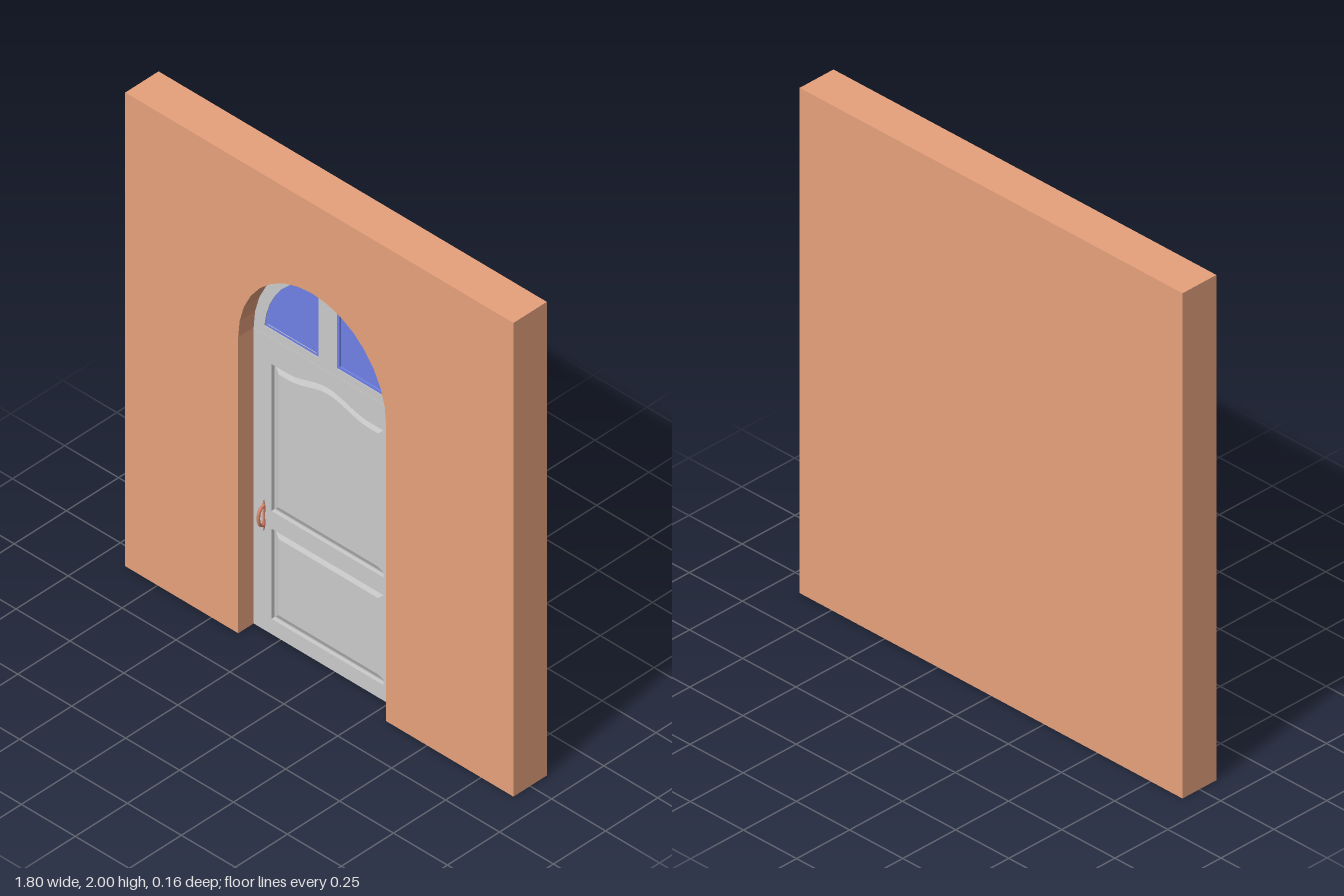
import * as THREE from 'three';

const W = 1.8, H = 2, Z = 0.08;            // wall width, height, half thickness
const CX = -0.033, RX = 0.343, RY = 0.37;  // opening centre and arch radii
const SPRING = 1.25, RECESS = -0.01, DOOR_Z = 0.006;

const mat = (color) => new THREE.MeshStandardMaterial({ color, flatShading: true });
const wallMat = mat(0xe6a17c), doorMat = mat(0xcccccc), glassMat = mat(0x6f81e6), handleMat = mat(0xd98468);

const shapeOf = (pts) => new THREE.Shape(pts.map(([x, y]) => new THREE.Vector2(x, y)));

// points on an ellipse about the middle of the arch spring line
function arc(rx, ry, a0, a1, n) {
  return Array.from({ length: n + 1 }, (_, i) => {
    const a = a0 + (a1 - a0) * i / n;
    return [rx * Math.cos(a), SPRING + ry * Math.sin(a)];
  });
}

function extrude(name, shape, z0, z1, material, bevel) {
  const opts = bevel
    ? { depth: z1 - z0, bevelEnabled: true, bevelSegments: 1, bevelThickness: bevel[1], bevelSize: bevel[0], bevelOffset: -bevel[0] }
    : { depth: z1 - z0, bevelEnabled: false };
  const mesh = new THREE.Mesh(new THREE.ExtrudeGeometry(shape, opts), material);
  mesh.position.z = z0;
  mesh.name = name;
  return mesh;
}

// one quarter-round light of the fanlight; side is -1 or 1, inset shrinks it
function lightShape(side, inset) {
  const rx = 0.295 - inset, ry = 0.335 - inset, x0 = 0.043 + inset, y0 = 1.285 + inset;
  const pts = arc(rx, ry, Math.asin((y0 - SPRING) / ry), Math.acos(x0 / rx), 8);
  return shapeOf([[x0, y0], ...pts].map(([x, y]) => [x * side, y]));
}

// door panel outline, with an optional swept crown on top
function panelShape(y0, y1, crown, inset) {
  const hw = 0.26 - inset, top = y1 - inset, pts = [[-hw, y0 + inset], [hw, y0 + inset], [hw, top]];
  if (crown) {
    for (let i = 0; i <= 12; i++) {
      const t = 1 - i / 6;
      pts.push([0.19 * t, top + crown * (1 + Math.cos(Math.PI * t)) / 2]);
    }
  }
  pts.push([-hw, top]);
  return shapeOf(pts);
}

export function createModel() {
  const model = new THREE.Group();

  // wall: a solid back and a front layer with the arched opening
  const back = new THREE.Mesh(new THREE.BoxGeometry(W, H, RECESS + Z), wallMat);
  back.position.set(0, H / 2, (RECESS - Z) / 2);
  back.name = 'wallBack';
  const opening = arc(RX, RY, Math.PI, 0, 16).map(([x, y]) => [x + CX, y]);
  const front = shapeOf([
    [-W / 2, 0], [CX - RX, 0], ...opening, [CX + RX, 0], [W / 2, 0], [W / 2, H], [-W / 2, H],
  ]);
  model.add(back, extrude('wallFront', front, RECESS, Z, wallMat));

  const door = new THREE.Group();
  door.name = 'door';
  door.position.x = CX;
  model.add(door);

  // door leaf with two raised and fielded panels
  const leaf = shapeOf([[-RX, 0], [RX, 0], [RX, SPRING - 0.001], [-RX, SPRING - 0.001]]);
  const panels = [['lowerPanel', 0.065, 0.445, 0], ['upperPanel', 0.52, 1.14, 0.04]];
  for (const [name, y0, y1, crown] of panels) {
    leaf.holes.push(panelShape(y0, y1, crown, 0));
    const backing = extrude(name + 'Groove', panelShape(y0, y1, crown, 0), RECESS, RECESS + 0.002, doorMat);
    const field = extrude(name, panelShape(y0, y1, crown, 0.007), RECESS, RECESS + 0.004, doorMat, [0.022, 0.009]);
    door.add(backing, field);
  }
  door.add(extrude('doorLeaf', leaf, RECESS, DOOR_Z, doorMat));

  // arched fanlight with two glazed lights
  const fanlight = shapeOf(arc(RX, RY, 0, Math.PI, 16));
  for (const side of [-1, 1]) {
    fanlight.holes.push(lightShape(side, 0));
    const rim = lightShape(side, 0);
    rim.holes.push(lightShape(side, 0.01));
    door.add(
      extrude('glazingBead', rim, RECESS, DOOR_Z - 0.003, glassMat),
      extrude('glass', lightShape(side, 0.005), RECESS, RECESS + 0.006, glassMat),
    );
  }
  door.add(extrude('fanlightFrame', fanlight, RECESS, DOOR_Z, doorMat));

  // pull handle: pointed backplate and a bowed grip
  const handle = new THREE.Group();
  handle.name = 'handle';
  handle.position.set(-0.294, 0.485, DOOR_Z);
  const plate = shapeOf([[0, -0.065], [0.006, -0.04], [0.004, 0], [0.006, 0.04], [0, 0.065], [-0.006, 0.04], [-0.004, 0], [-0.006, -0.04]]);
  handle.add(extrude('handlePlate', plate, 0, 0.004, handleMat));
  const bow = new THREE.CatmullRomCurve3(
    [[-0.042, 0], [-0.036, 0.016], [-0.018, 0.026], [0.018, 0.026], [0.036, 0.016], [0.042, 0]]
      .map(([y, z]) => new THREE.Vector3(0, y, z)));
  const grip = new THREE.Mesh(
    new THREE.TubeGeometry(bow, 20, 0.006, 8),
    new THREE.MeshStandardMaterial({ color: 0xd98468 }));
  grip.name = 'handleGrip';
  handle.add(grip);
  door.add(handle);

  return model;
}
